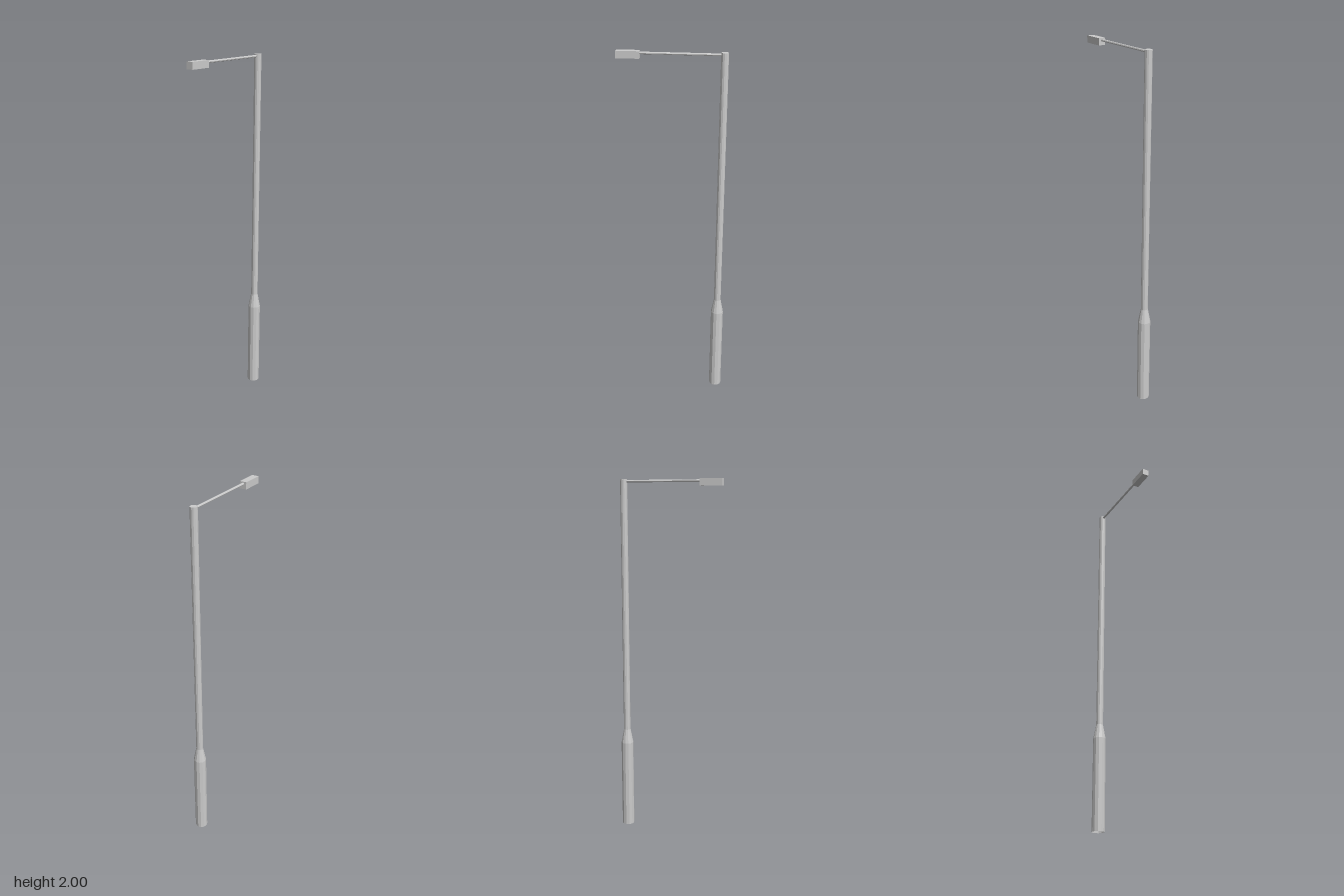
import * as THREE from 'three';

export function createModel() {
  const group = new THREE.Group();
  group.name = 'streetLamp';
  const material = new THREE.MeshStandardMaterial({
    color: 0xcccccc, flatShading: true, side: THREE.DoubleSide,
  });
  const add = (name, geometry, x, y, z) => {
    const mesh = new THREE.Mesh(geometry, material);
    mesh.name = name;
    mesh.position.set(x, y, z);
    group.add(mesh);
    return mesh;
  };
  const poleZ = -0.257;

  // Wide base, tapered collar and slim shaft, open underneath and capped on top
  const profile = [[0.035, 0], [0.035, 0.51], [0.0195, 0.59], [0.0195, 2], [0, 2]]
    .map(([r, y]) => new THREE.Vector2(r, y));
  add('pole', new THREE.LatheGeometry(profile, 12), 0, 0, poleZ);

  // Thin horizontal arm from the shaft into the lamp housing
  const armStart = poleZ + 0.015, armEnd = 0.172;
  const arm = new THREE.CylinderGeometry(0.0065, 0.0065, armEnd - armStart, 8);
  arm.rotateX(Math.PI / 2);
  add('arm', arm, 0, 1.989, (armStart + armEnd) / 2);

  // Box-shaped lamp housing
  add('lampHousing', new THREE.BoxGeometry(0.038, 0.037, 0.121), 0, 1.9815, 0.2315);

  return group;
}
